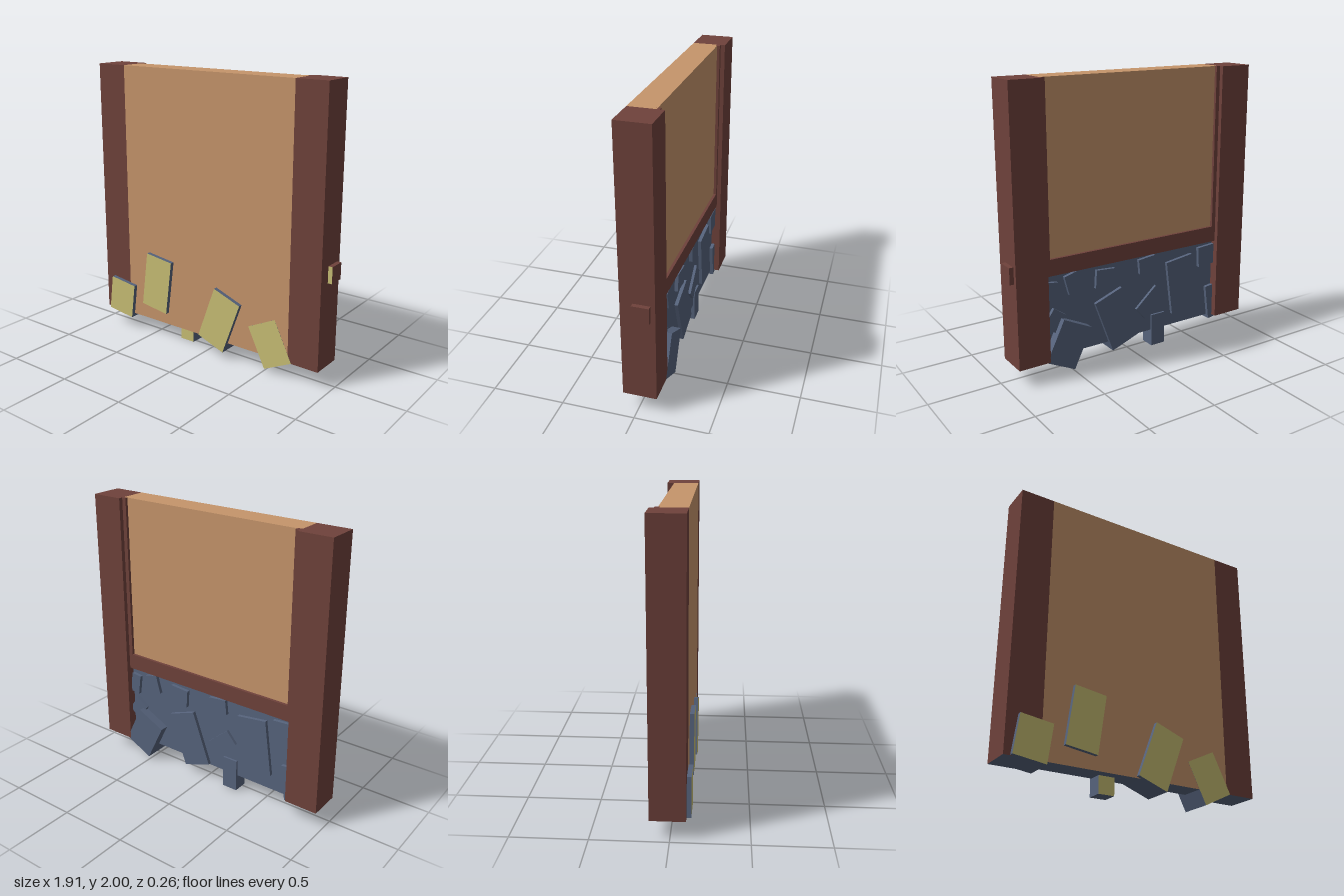
import * as THREE from 'three';

export function createModel() {
  const model = new THREE.Group();
  const mat = (name, color) => {
    const m = new THREE.MeshStandardMaterial({ color });
    m.name = name;
    return m;
  };
  const wood = mat('dark wood', 0x6f423b);
  const plaster = mat('plaster', 0xc6956b);
  const stone = mat('slate stone', 0x56637c);
  const olive = mat('olive', 0xc8bf74);

  // Box given by its extents on each axis
  function box(name, material, [x0, x1], [y0, y1], [z0, z1]) {
    const mesh = new THREE.Mesh(new THREE.BoxGeometry(x1 - x0, y1 - y0, z1 - z0), material);
    mesh.position.set((x0 + x1) / 2, (y0 + y1) / 2, (z0 + z1) / 2);
    mesh.name = name;
    model.add(mesh);
    return mesh;
  }
  // Only the +z side of a box is olive
  const oliveFront = (m) => [m, m, m, m, olive, m];

  // Posts, with stone-coloured undersides
  for (const [side, x] of [['right', [-0.96, -0.72]], ['left', [0.69, 0.92]]]) {
    box(side + 'Post', [wood, wood, wood, stone, wood, wood], x, [0.12, 2], [-0.13, 0.1]);
  }

  // Plaster panel: full depth above the rail, thin skin in front of the stonework
  box('upperPanel', plaster, [-0.72, 0.69], [0.78, 2], [-0.08, 0.1]);
  box('lowerPanel', [plaster, plaster, plaster, stone, plaster, plaster],
    [-0.72, 0.69], [0.12, 0.78], [0.02, 0.1]);

  // Cross rail, whose end pokes out of the left post
  box('rail', oliveFront(wood), [-0.95, 0.95], [0.715, 0.83], [-0.1, 0.015]);

  // Narrow battens beside the posts on the back
  box('rightBatten', wood, [-0.72, -0.69], [0.83, 2], [-0.1, -0.07]);
  box('leftBatten', wood, [0.66, 0.69], [0.83, 2], [-0.1, -0.07]);

  // Stone base wall on the back
  box('stoneWall', stone, [-0.72, 0.69], [0.12, 0.72], [-0.065, 0.02]);

  // Stones: x, y, width, height, tilt in degrees, back z, front z
  const stones = [
    // large ones through the wall
    [-0.785, 0.24, 0.228, 0.265, -7.5, -0.09, 0.13],
    [-0.43, 0.43, 0.23, 0.41, -7.5, -0.09, 0.13],
    [0.137, 0.285, 0.228, 0.41, -20, -0.09, 0.13],
    [0.545, 0.21, 0.235, 0.31, 26, -0.13, 0.101],
    // upright block at the foot
    [-0.222, 0.12, 0.115, 0.24, 0, -0.08, 0.03],
    // small ones on the back
    [0.65, 0.59, 0.08, 0.15, 8, -0.09, 0],
    [0.48, 0.63, 0.11, 0.14, -15, -0.09, 0],
    [0.63, 0.39, 0.11, 0.14, 35, -0.09, 0],
    [0.23, 0.61, 0.15, 0.13, 4, -0.09, 0],
    [-0.12, 0.64, 0.14, 0.11, -6, -0.09, 0],
    [-0.15, 0.348, 0.225, 0.115, -41, -0.085, 0],
    [-0.655, 0.61, 0.15, 0.15, -4, -0.09, 0],
  ];
  stones.forEach(([x, y, w, h, tilt, back, front], i) => {
    const mesh = box('stone' + (i + 1), oliveFront(stone),
      [x - w / 2, x + w / 2], [y - h / 2, y + h / 2], [back, front]);
    mesh.rotation.z = THREE.MathUtils.degToRad(tilt);
  });

  return model;
}
